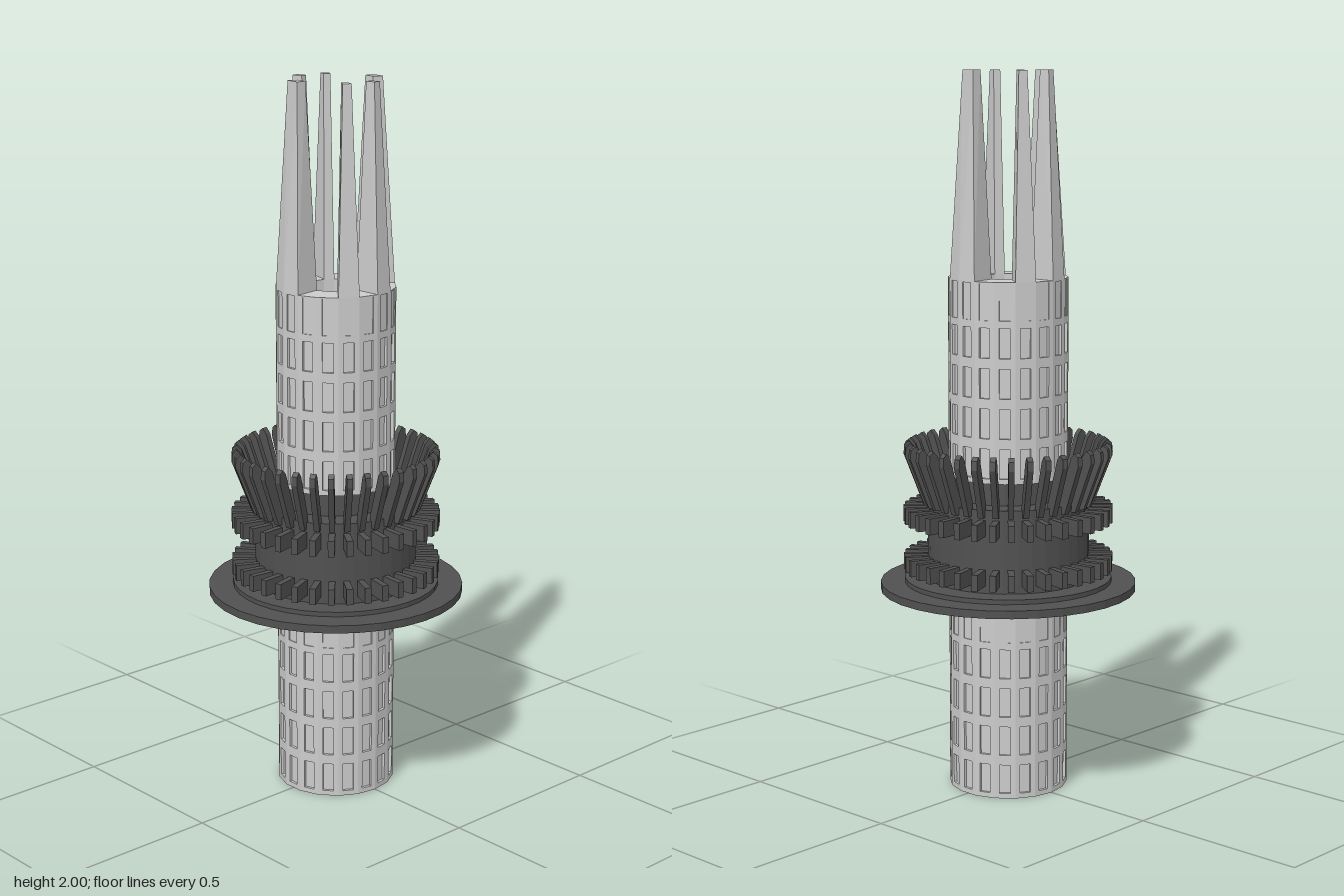
import * as THREE from 'three';
import { ConvexGeometry } from 'three/addons/geometries/ConvexGeometry.js';

const pale = new THREE.MeshStandardMaterial({ color: 0xcccccc, flatShading: true });
const dark = new THREE.MeshStandardMaterial({ color: 0x505050, flatShading: true });
const rad = THREE.MathUtils.degToRad;
const SIDES = 18;
const BORE = 0.083;
const R = 0.166;

function add(parent, name, geometry, material) {
  const mesh = new THREE.Mesh(geometry, material);
  mesh.name = name;
  parent.add(mesh);
  return mesh;
}

// Repeats a geometry (modelled pointing along +x) evenly around the y axis
function ring(parent, name, count, offset, geometry, material) {
  const group = new THREE.Group();
  group.name = name;
  for (let i = 0; i < count; i++) {
    add(group, name + 'Part', geometry, material).rotation.y = rad(offset + (i * 360) / count);
  }
  parent.add(group);
  return group;
}

function polygon(points) {
  return new THREE.Shape(points.map(([x, y]) => new THREE.Vector2(x, y)));
}

function disc(parent, name, radius, y0, y1, sides) {
  const geometry = new THREE.CylinderGeometry(radius, radius, y1 - y0, sides);
  add(parent, name, geometry, dark).position.y = (y0 + y1) / 2;
}

// Hollow 18-sided tube: windowed lattice below, slotted collar on top
function createTube(name, y) {
  const group = new THREE.Group();
  group.name = name;
  group.position.y = y;

  const profile = [[BORE, 0], [0.158, 0], [0.158, 0.44], [0.163, 0.44], [0.163, 0.55], [BORE, 0.55], [BORE, 0]];
  const core = new THREE.LatheGeometry(profile.map(([r, h]) => new THREE.Vector2(r, h)), SIDES);
  core.rotateY(rad(10));
  add(group, 'tubeCore', core, pale);

  // One flat panel per side, with four windows and a shallow slot above
  const apothem = R * Math.cos(Math.PI / SIDES);
  const half = apothem * Math.tan(Math.PI / SIDES);
  const panel = polygon([[-half, 0], [half, 0], [half, 0.55], [-half, 0.55]]);
  const cut = (y0, y1) => {
    const w = 0.015;
    panel.holes.push(polygon([[-w, y0], [-w, y1], [w, y1], [w, y0]]));
  };
  for (let row = 0; row < 4; row++) cut(row * 0.11 + 0.014, row * 0.11 + 0.096);
  cut(0.446, 0.546);
  const geometry = new THREE.ExtrudeGeometry(panel, { depth: 0.012, bevelEnabled: false });
  geometry.translate(0, 0, apothem - 0.012);
  geometry.rotateY(Math.PI / 2);
  ring(group, 'windowPanel', SIDES, 10, geometry, pale);
  return group;
}

// Tapered prong standing on the rim between two angles
function createProng(parent, from, to) {
  const mid = (from + to) / 2;
  const point = (r, deg, y) => new THREE.Vector3(r * Math.cos(rad(deg)), y, -r * Math.sin(rad(deg)));
  const points = [];
  for (const side of [from, to]) {
    const tip = mid + (side - mid) * 0.5;
    points.push(point(BORE, side, 1.44), point(R, side, 1.44), point(0.108, tip, 2), point(0.137, tip, 2));
  }
  if (to - from > 20) points.push(point(R, mid, 1.44));
  add(parent, 'prong', new ConvexGeometry(points), pale);
}

export function createModel() {
  const model = new THREE.Group();
  model.name = 'toothedSpindle';

  model.add(createTube('lowerTube', 0), createTube('upperTube', 0.89));

  // Two wide and four narrow prongs, repeated after half a turn
  for (const turn of [0, 180]) {
    for (const [from, to] of [[60, 100], [0, 20], [-40, -20]]) createProng(model, from + turn, to + turn);
  }

  // Solid hub
  const hub = new THREE.Group();
  hub.name = 'hub';
  model.add(hub);
  disc(hub, 'drum', 0.226, 0.545, 0.83, 36);
  disc(hub, 'drumNeck', 0.16, 0.82, 0.9, SIDES);
  disc(hub, 'flange', 0.358, 0.565, 0.587, 32);
  disc(hub, 'flangeStep', 0.29, 0.555, 0.6, 36);

  // Two rings of radial teeth
  for (const [name, y] of [['lowerTooth', 0.643], ['upperTooth', 0.78]]) {
    const tooth = new THREE.BoxGeometry(0.08, 0.045, 0.018);
    tooth.translate(0.252, y, 0);
    ring(hub, name, 36, 5, tooth, dark);
  }

  // Crown of fins leaning outwards
  const fin = new THREE.ExtrudeGeometry(
    polygon([[0.215, 0.81], [0.238, 0.81], [0.291, 0.95], [0.289, 0.975], [0.276, 0.985], [0.262, 0.97], [0.215, 0.84]]),
    { depth: 0.016, bevelEnabled: false });
  fin.translate(0, 0, -0.008);
  ring(hub, 'crownFin', 36, 5, fin, dark);

  return model;
}
